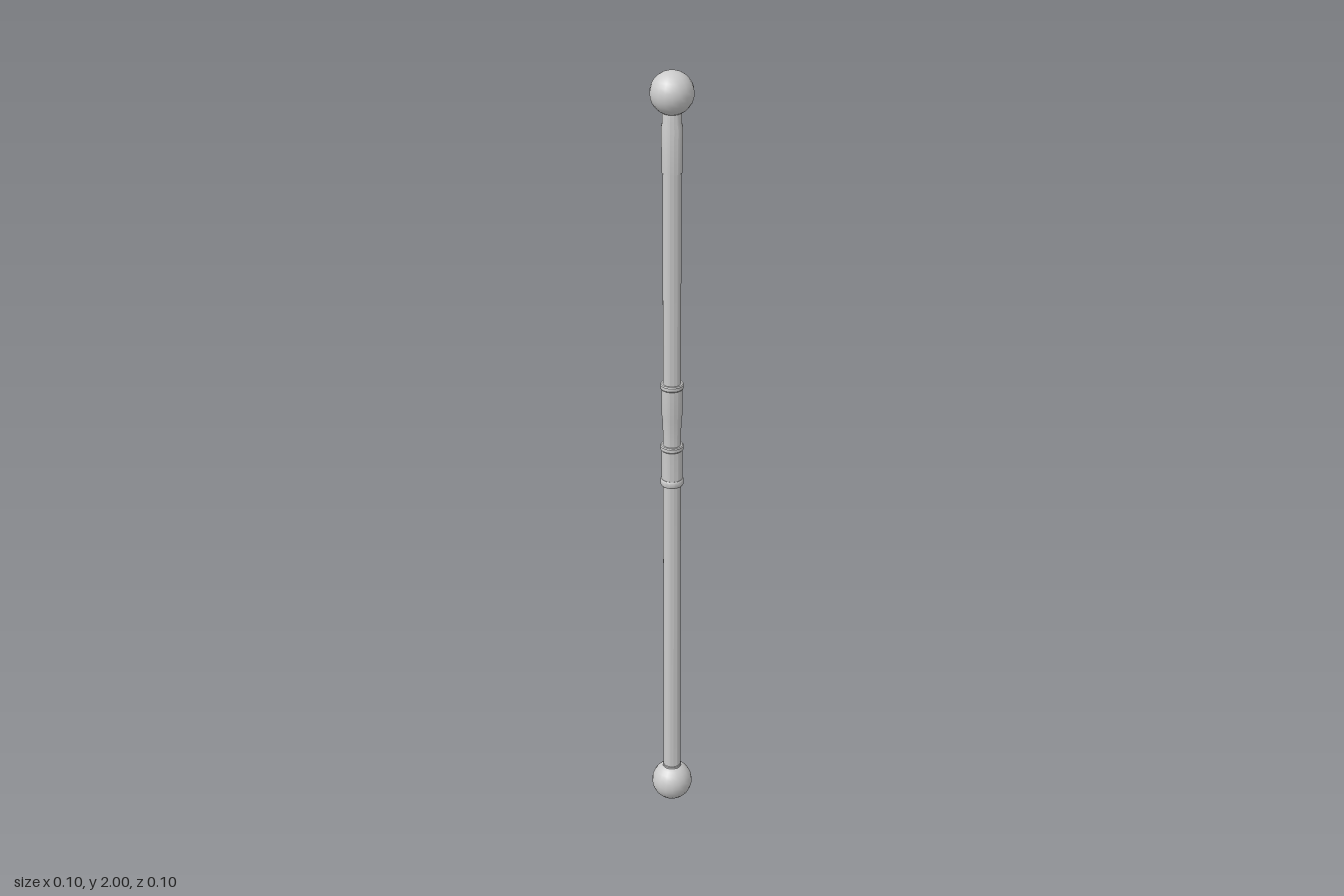
import * as THREE from 'three';
import { toCreasedNormals } from 'three/addons/utils/BufferGeometryUtils.js';

const SIDES = 16;

export function createModel() {
  const staff = new THREE.Group();
  staff.name = 'staff';
  const material = new THREE.MeshStandardMaterial({ color: 0xcccccc });

  function add(name, geometry, y = 0) {
    const mesh = new THREE.Mesh(geometry, material);
    mesh.name = name;
    mesh.position.y = y;
    staff.add(mesh);
  }

  // Turned part: [radius, height] pairs listed from bottom to top
  function turned(name, profile) {
    const points = profile.map(([r, y]) => new THREE.Vector2(r, y));
    add(name, toCreasedNormals(new THREE.LatheGeometry(points, SIDES), 0.6));
  }

  // Thin raised band with softened edges
  function band(name, y, radius, height) {
    const h = height / 2;
    turned(name, [
      [0.018, y - h], [radius - 0.002, y - h], [radius, y - h * 0.6],
      [radius, y + h * 0.6], [radius - 0.002, y + h], [0.018, y + h],
    ]);
  }

  // Ball at each end
  const ballRadius = 0.0525;
  add('bottomBall', new THREE.SphereGeometry(ballRadius, 18, 14), ballRadius);
  add('topBall', new THREE.SphereGeometry(ballRadius, 18, 14), 2 - ballRadius);

  // Long shaft, with a short collar where it meets the bottom ball
  turned('shaft', [[0.0225, 0.08], [0.0225, 1.9]]);
  band('bottomCollar', 0.1, 0.024, 0.012);

  // Sleeve below the top ball, narrowing at its neck
  turned('topSleeve', [
    [0.018, 1.755], [0.0245, 1.755], [0.026, 1.865], [0.0235, 1.875],
    [0.0235, 1.9], [0.018, 1.91],
  ]);

  // Middle joint: tapered upper sleeve, straight lower sleeve, three bands
  turned('upperSleeve', [
    [0.0225, 1.04], [0.0235, 1.115], [0.026, 1.13], [0.026, 1.205],
  ]);
  turned('lowerSleeve', [[0.026, 0.945], [0.026, 1.04]]);
  band('lowerBand', 0.945, 0.029, 0.018);
  band('middleBand', 1.04, 0.029, 0.014);
  band('upperBand', 1.206, 0.029, 0.014);

  return staff;
}
